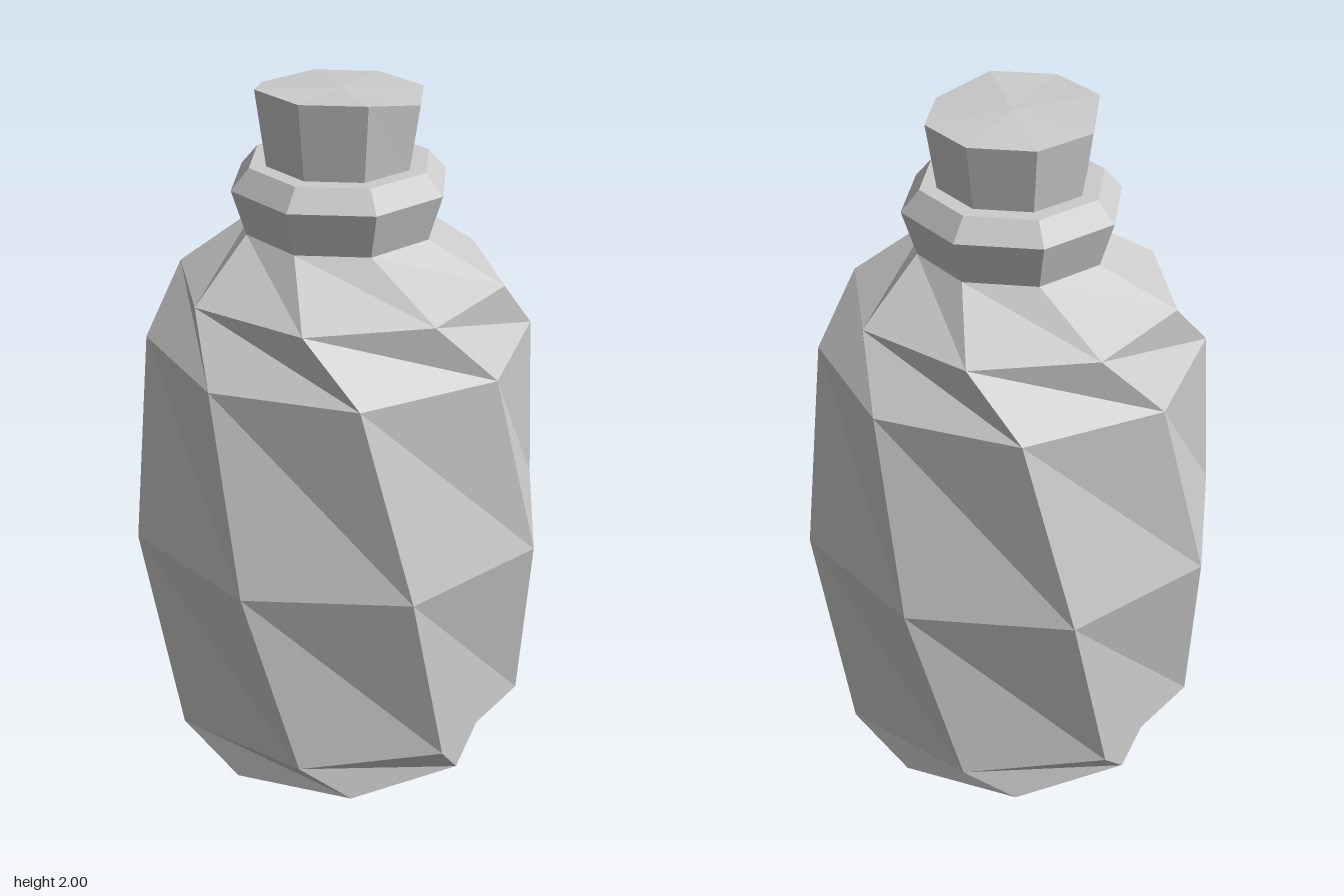
import * as THREE from 'three';

const SIDES = 8;
const material = new THREE.MeshStandardMaterial({ color: 0xcccccc, flatShading: true });

// Skin stacked octagonal rings { y, r, twist in degrees } and close both ends.
// heightAt(j) optionally lowers single corners of the last ring.
function ringMesh(name, rings, heightAt = () => 0, topCentreDrop = 0) {
  const positions = [];
  const index = [];
  rings.forEach(([y, r, twist = 0], i) => {
    const last = i === rings.length - 1;
    for (let j = 0; j < SIDES; j++) {
      const a = THREE.MathUtils.degToRad(twist + j * 360 / SIDES);
      positions.push(r * Math.sin(a), y + (last ? heightAt(j) : 0), r * Math.cos(a));
    }
  });
  const top = rings.length - 1;
  const bottomCentre = rings.length * SIDES;
  positions.push(0, rings[0][0], 0, 0, rings[top][0] - topCentreDrop, 0);

  for (let j = 0; j < SIDES; j++) {
    const k = (j + 1) % SIDES;
    for (let i = 0; i < top; i++) {
      const a = i * SIDES + j, b = i * SIDES + k;
      const c = b + SIDES, d = a + SIDES;
      index.push(a, b, d, b, c, d);
    }
    index.push(bottomCentre, k, j);
    index.push(bottomCentre + 1, top * SIDES + j, top * SIDES + k);
  }
  const geometry = new THREE.BufferGeometry();
  geometry.setAttribute('position', new THREE.Float32BufferAttribute(positions, 3));
  geometry.setIndex(index);
  const flat = geometry.toNonIndexed();
  flat.computeVertexNormals();
  const mesh = new THREE.Mesh(flat, material);
  mesh.name = name;
  return mesh;
}

export function createModel() {
  const bottle = new THREE.Group();
  bottle.name = 'bottle';

  // Swirled body, each ring turned further than the one below
  bottle.add(ringMesh('body', [
    [0, 0.25, 45],
    [0.12, 0.43, 31],
    [0.27, 0.51, 14.7],
    [0.805, 0.572, 0.9],
    [1.33, 0.51, -12.5],
    [1.49, 0.432, -30.2],
    [1.625, 0.25, -45],
  ]));

  // Flared lip around the neck
  bottle.add(ringMesh('lip', [
    [1.625, 0.25],
    [1.745, 0.288],
    [1.8, 0.24],
  ]));

  // Stopper with an uneven top: only three corners reach full height
  const highCorners = [0, 6, 7];
  bottle.add(ringMesh('stopper', [
    [1.78, 0.192],
    [2, 0.222],
  ], (j) => (highCorners.includes(j) ? 0 : -0.03), 0.015));

  return bottle;
}
